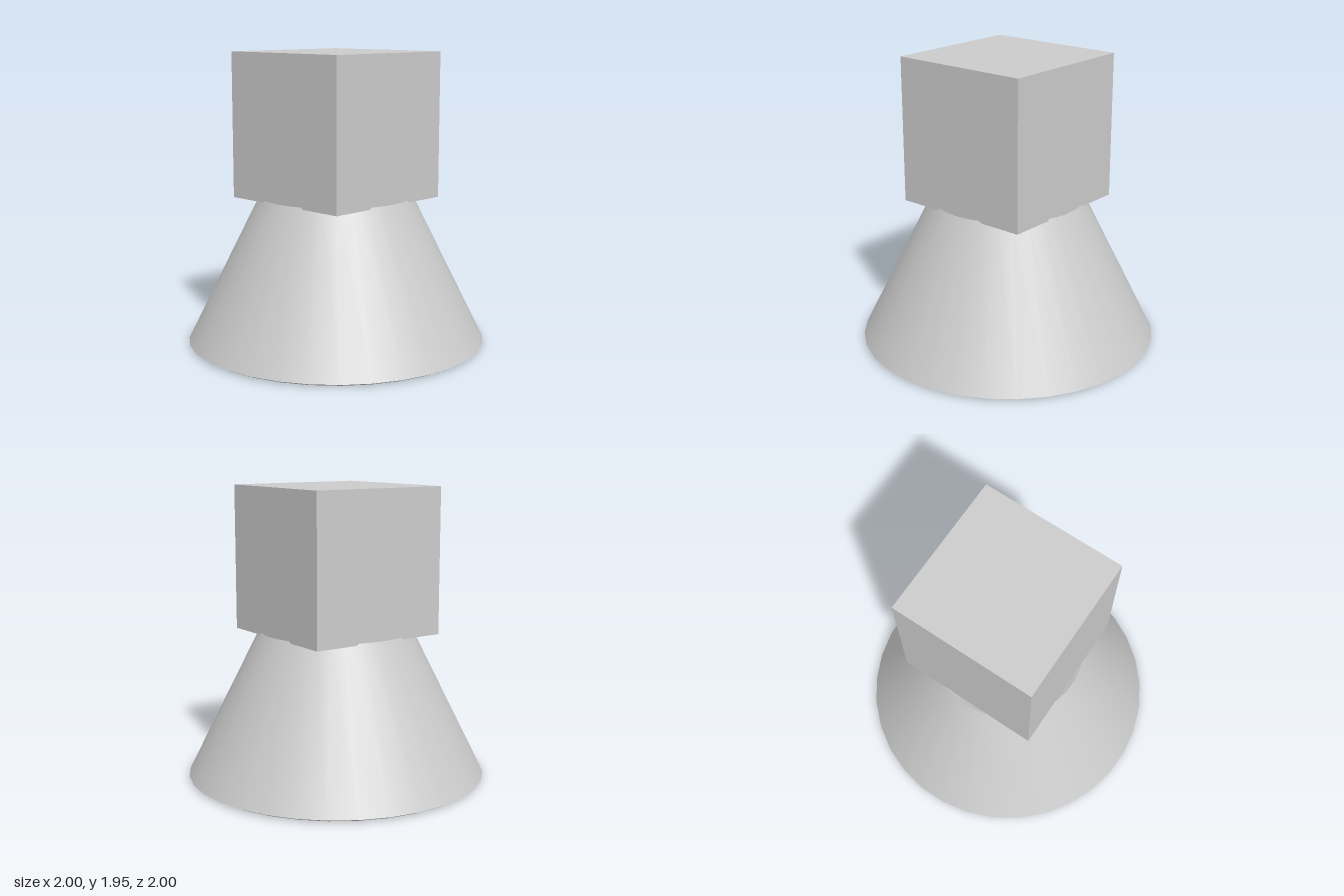
import * as THREE from 'three';

const SIDES = 33;
const CENTRE_X = -0.002;

export function createModel() {
  const model = new THREE.Group();
  const material = new THREE.MeshStandardMaterial({ color: 0xcccccc });

  // Hollow, open-ended cone: each wall is its own lathe so the rims stay sharp
  const profile = [[1.001, 0.016], [0.516, 0.987], [0.485, 0.971], [0.97, 0]]
    .map(([r, y]) => new THREE.Vector2(r, y));
  const names = ['outerWall', 'topRim', 'innerWall', 'bottomRim'];
  const cone = new THREE.Group();
  cone.name = 'hollowCone';
  names.forEach((name, i) => {
    const ends = [profile[i], profile[(i + 1) % profile.length]];
    const wall = new THREE.Mesh(new THREE.LatheGeometry(ends, SIDES, Math.PI / 2), material);
    wall.name = name;
    cone.add(wall);
  });

  // Cube resting in the cone's top opening
  const size = 0.971;
  const cube = new THREE.Mesh(new THREE.BoxGeometry(size, size, size), material);
  cube.name = 'cube';
  cube.position.y = 0.974 + size / 2;

  model.add(cone, cube);
  for (const part of model.children) part.position.x = CENTRE_X;
  return model;
}
